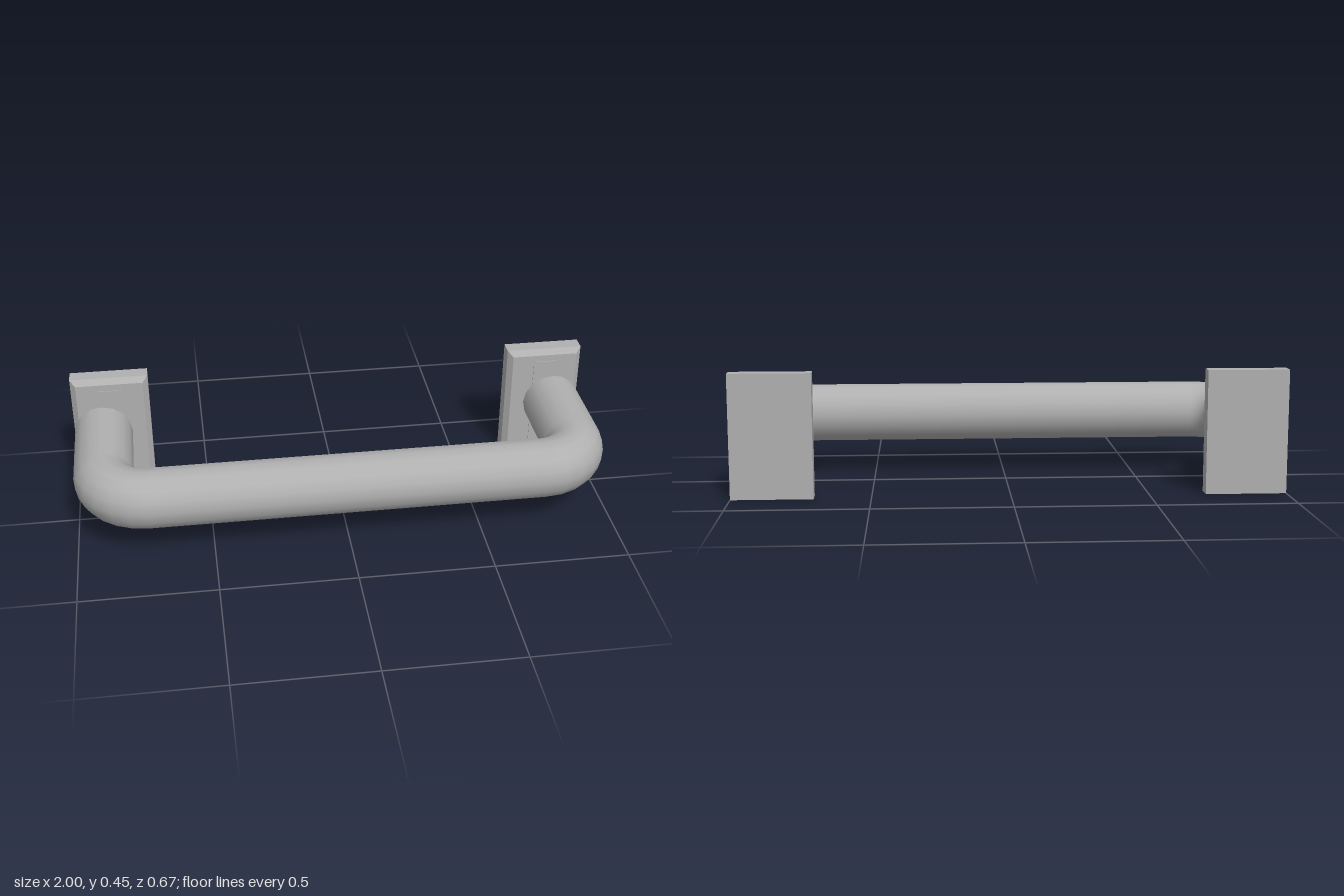
import * as THREE from 'three';

export function createModel() {
  const model = new THREE.Group();
  model.name = 'grabHandle';
  const metal = new THREE.MeshStandardMaterial({ color: 0xb0b0b0 });
  metal.name = 'grey metal';

  const add = (name, geometry, x, y, z) => {
    const mesh = new THREE.Mesh(geometry, metal);
    mesh.name = name;
    mesh.position.set(x, y, z);
    model.add(mesh);
  };

  const r = 0.111, bend = 0.16;              // tube radius, bend radius
  const legX = 0.889, barZ = 0.222, midY = 0.226;
  const plateW = 0.295, plateH = 0.452, back = -0.333, face = -0.257, chamfer = 0.02;

  // Wall plate with its four front edges chamfered
  function plateGeometry() {
    const depth = face - back;
    const box = new THREE.BoxGeometry(plateW, plateH, depth, 1, 1, 2);
    const p = box.attributes.position;
    for (let i = 0; i < p.count; i++) {
      const z = p.getZ(i);
      if (z > 0.01) {
        p.setX(i, p.getX(i) - Math.sign(p.getX(i)) * chamfer);
        p.setY(i, p.getY(i) - Math.sign(p.getY(i)) * chamfer);
      } else if (z > -0.01) {
        p.setZ(i, depth / 2 - chamfer);
      }
    }
    const flat = box.toNonIndexed();
    flat.computeVertexNormals();
    return flat;
  }

  // Long horizontal bar
  const barLength = 2 * (legX - bend);
  add('bar', new THREE.CylinderGeometry(r, r, barLength, 16, 1, true).rotateZ(Math.PI / 2), 0, midY, barZ);

  for (const side of [-1, 1]) {
    const label = side > 0 ? 'left' : 'right';
    const bendZ = barZ - bend;

    // Quarter-turn bend
    const elbow = new THREE.TorusGeometry(bend, r, 16, 6, Math.PI / 2);
    if (side < 0) elbow.rotateZ(Math.PI / 2);
    elbow.rotateX(Math.PI / 2);
    add(label + 'Bend', elbow, side * (legX - bend), midY, bendZ);

    // Leg back to the wall plate
    const leg = new THREE.CylinderGeometry(r, r, bendZ - face, 16).rotateX(Math.PI / 2);
    add(label + 'Leg', leg, side * legX, midY, (bendZ + face) / 2);

    // Wall plate and the thin raised strip on its face
    const plateX = side * (1 - plateW / 2);
    add(label + 'Plate', plateGeometry(), plateX, midY, (back + face) / 2);
    add(label + 'PlateStrip', new THREE.BoxGeometry(0.086, 0.36, 0.008), plateX, midY, face - 0.001);
  }
  return model;
}
